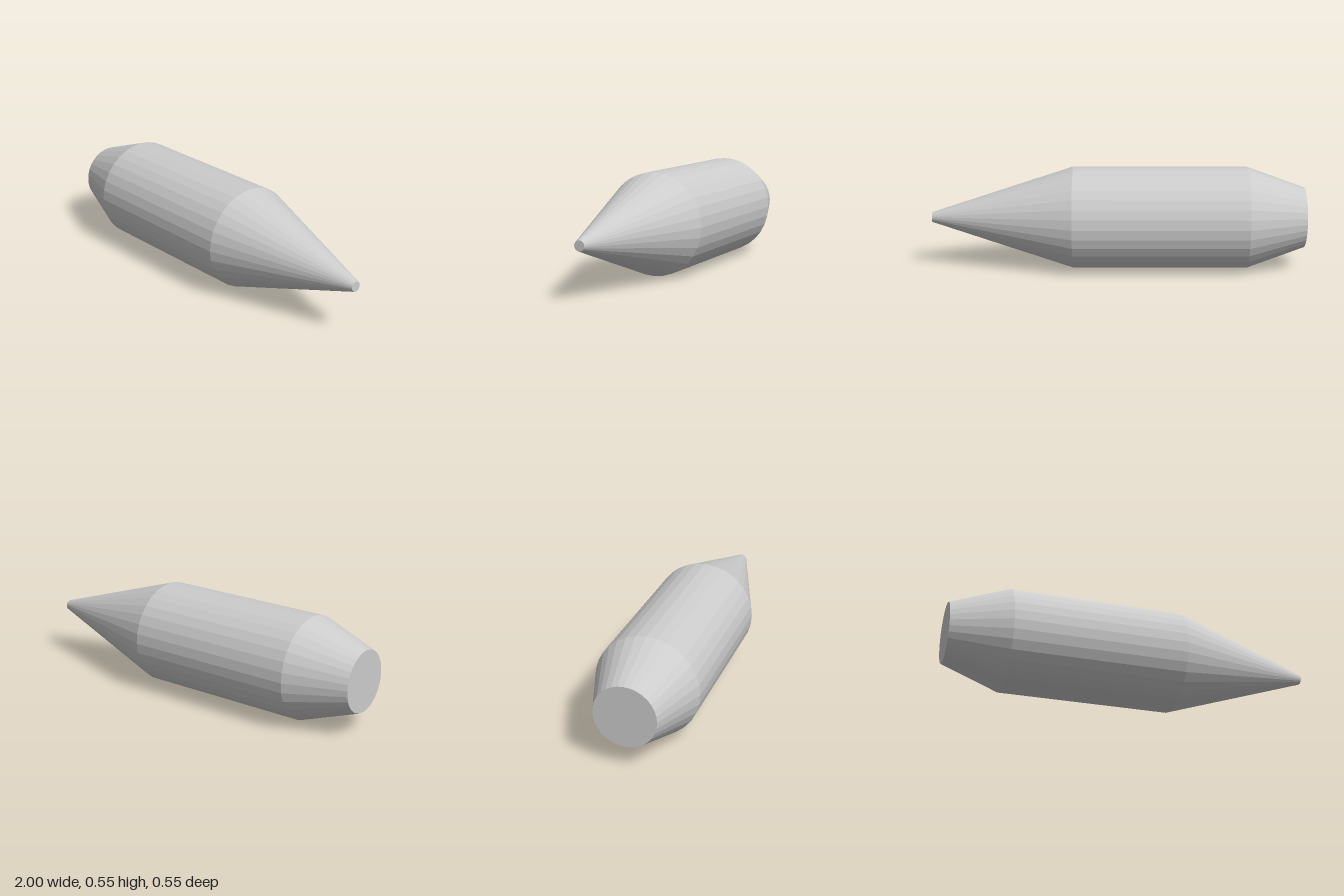
import * as THREE from 'three';

const RADIUS = 0.273;
const SIDES = 32;

export function createModel() {
  const group = new THREE.Group();
  group.name = 'taperedProjectile';
  const material = new THREE.MeshStandardMaterial({ color: 0xcccccc, flatShading: true });

  // Profile as [radius, position along the axis], from flat base to blunt tip
  const profile = [
    [0, -1],
    [0.162, -1],
    [RADIUS, -0.69],
    [RADIUS, 0.24],
    [0.027, 1],
    [0, 1],
  ].map(([r, a]) => new THREE.Vector2(r, a));

  // Faceted body, laid on its side with the tip towards +x
  const geometry = new THREE.LatheGeometry(profile, SIDES);
  geometry.rotateZ(-Math.PI / 2);
  geometry.translate(0, RADIUS, 0);

  const body = new THREE.Mesh(geometry, material);
  body.name = 'body';
  group.add(body);
  return group;
}
